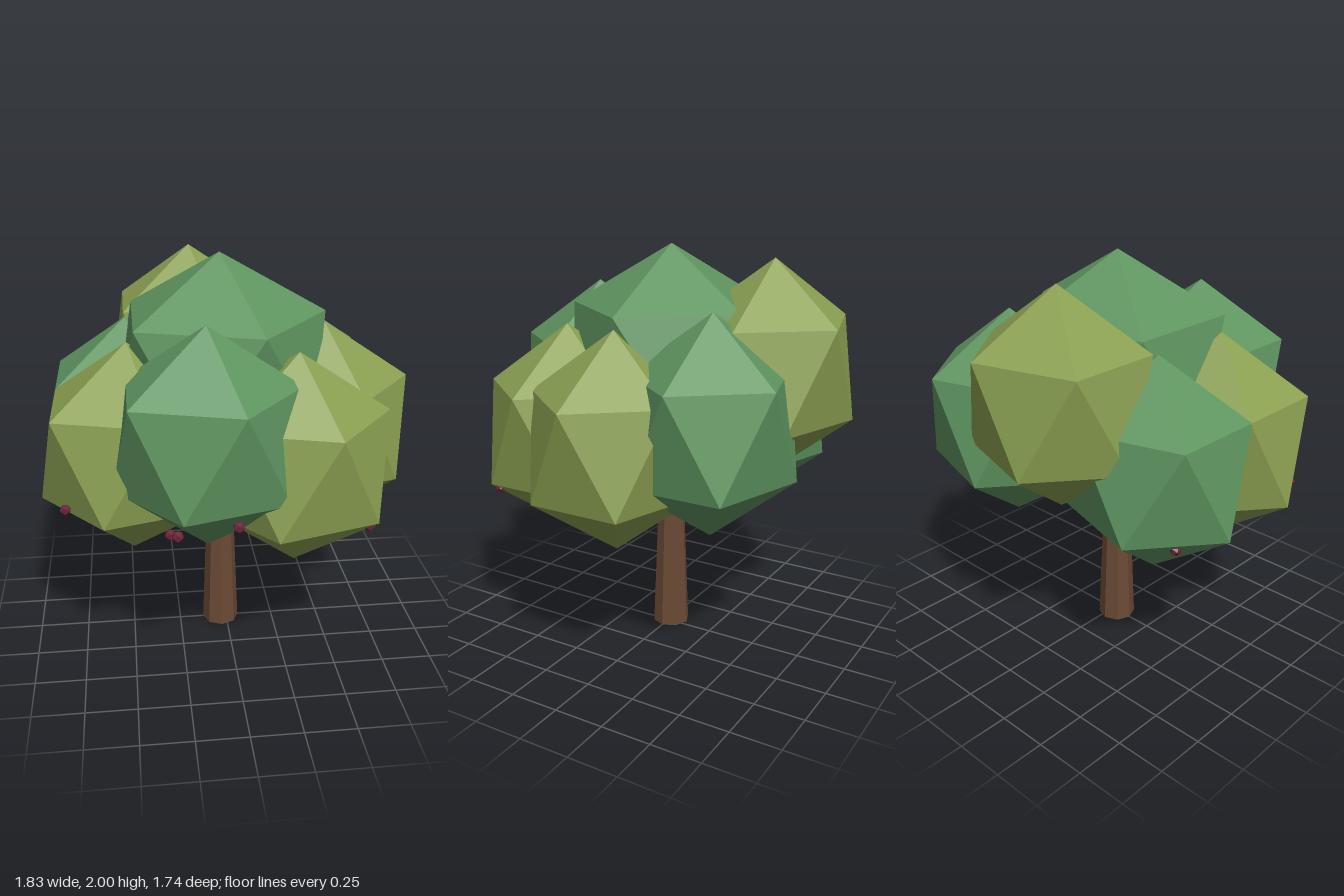
import * as THREE from 'three';

const GREEN = 0x5f9560, OLIVE = 0x8ba052, BARK = 0x6b4a35, BERRY = 0x6b2238;
const TRUNK_X = -0.03;

const paint = (color) => {
  const m = new THREE.MeshStandardMaterial({ flatShading: true });
  m.color.set(color);
  return m;
};

// Icosahedron standing on a vertex, with an upper-ring corner towards +x
function clumpGeometry() {
  const g = new THREE.IcosahedronGeometry(1, 0);
  g.rotateZ(-Math.atan(2 / (1 + Math.sqrt(5))));
  return g;
}

// Tapered cylinder between two points
function limb(from, to, r0, r1, sides, material) {
  const dir = to.clone().sub(from);
  const mesh = new THREE.Mesh(new THREE.CylinderGeometry(r1, r0, dir.length(), sides), material);
  mesh.position.copy(from).addScaledVector(dir, 0.5);
  mesh.quaternion.setFromUnitVectors(new THREE.Vector3(0, 1, 0), dir.normalize());
  return mesh;
}

export function createModel() {
  const tree = new THREE.Group();
  tree.name = 'tree';
  const green = paint(GREEN), olive = paint(OLIVE), bark = paint(BARK), red = paint(BERRY);

  // Trunk
  const trunk = limb(new THREE.Vector3(TRUNK_X, 0, 0), new THREE.Vector3(TRUNK_X, 0.65, 0), 0.095, 0.07, 8, bark);
  trunk.name = 'trunk';
  tree.add(trunk);

  // Crown: one large clump on top, eight-sided cluster of equal clumps around it
  const clump = clumpGeometry();
  const small = [0.485, 0.528, 0.438];
  const clumps = [
    ['topFoliage', green, [-0.03, 1.467, 0], [0.58, 0.533, 0.555]],
    ['frontFoliage', green, [-0.14, 1.258, 0.498], small],
    ['backFoliage', olive, [-0.14, 1.417, -0.498], small],
    ['frontLeftFoliage', olive, [0.29, 1.095, 0.4], small],
    ['backLeftFoliage', green, [0.29, 1.21, -0.4], small],
    ['leftFoliage', olive, [0.483, 1.125, 0], small],
    ['frontRightFoliage', olive, [-0.483, 1.115, 0.225], small],
    ['backRightFoliage', green, [-0.483, 1.115, -0.225], small],
  ];
  for (const [name, material, position, scale] of clumps) {
    const mesh = new THREE.Mesh(clump, material);
    mesh.name = name;
    mesh.position.set(...position);
    mesh.scale.set(...scale);
    tree.add(mesh);
  }

  // Branches fan out from the trunk top into the clumps
  const branches = new THREE.Group();
  branches.name = 'branches';
  const fork = new THREE.Vector3(TRUNK_X, 0.6, 0);
  const tips = [
    [TRUNK_X, 1.2, 0], [-0.09, 0.84, 0.25], [-0.09, 1.0, -0.3], [0.12, 0.77, 0.18],
    [0.13, 0.88, -0.2], [0.2, 0.78, 0], [-0.24, 0.77, 0.1], [-0.24, 0.77, -0.1],
  ];
  for (const tip of tips) {
    const branch = limb(fork, new THREE.Vector3(...tip), 0.036, 0.027, 6, bark);
    branch.name = 'branch';
    branches.add(branch);
  }
  tree.add(branches);

  // Berries on the lower foliage
  const berries = new THREE.Group();
  berries.name = 'berries';
  const berryGeometry = new THREE.IcosahedronGeometry(0.028, 0);
  const spots = [
    [-0.035, 0.985, 0.83], [-0.295, 0.928, 0.78], [0.605, 0.835, 0.6],
    [-0.795, 0.905, 0.42], [-0.315, 0.77, 0.47], [-0.73, 0.83, -0.37],
  ];
  for (const spot of spots) {
    const berry = new THREE.Mesh(berryGeometry, red);
    berry.name = 'berry';
    berry.position.set(...spot);
    berries.add(berry);
  }
  tree.add(berries);

  return tree;
}
